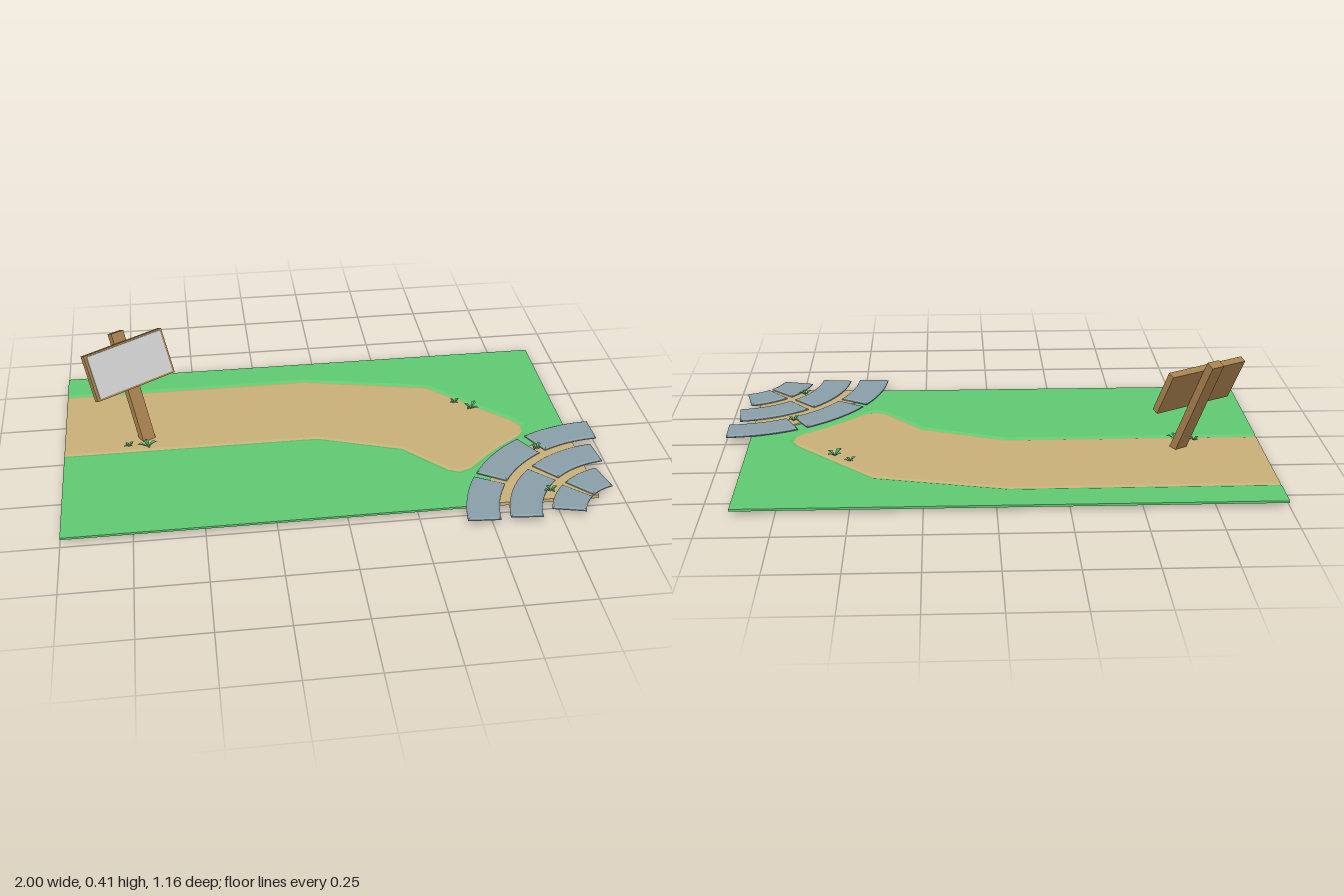
import * as THREE from 'three';

const mat = (name, color, extra = {}) => {
  const m = new THREE.MeshStandardMaterial({ color, ...extra });
  m.name = name;
  return m;
};

export function createModel() {
  const root = new THREE.Group();
  const grass = mat('grass green', 0x5fca72);
  const sand = mat('sand', 0xc9b077);
  const stone = mat('slate stone', 0x8a9fa9);
  const wood = mat('wood', 0xa9824f);
  const panel = mat('pale grey panel', 0xcfcfcf);
  const leaf = mat('leaf green', 0x45bd70, { side: THREE.DoubleSide, flatShading: true });

  const add = (name, geometry, material, parent = root) => {
    const mesh = new THREE.Mesh(geometry, material);
    mesh.name = name;
    parent.add(mesh);
    return mesh;
  };

  // Horizontal slab from [x, z] points between two heights, optionally bevelled
  const slab = (pts, y0, y1, bevel = 0) => {
    const t = bevel * 0.5;
    const shape = new THREE.Shape(pts.map(([x, z]) => new THREE.Vector2(x, -z)));
    const g = new THREE.ExtrudeGeometry(shape, {
      depth: y1 - y0 - 2 * t, bevelEnabled: bevel > 0, bevelSegments: 1,
      bevelSize: bevel, bevelThickness: t, bevelOffset: -bevel,
    });
    return g.rotateX(-Math.PI / 2).translate(0, y0 + t, 0);
  };

  // Path outline, open at the left edge of the ground
  const path = [
    [-1, -0.45], [-0.05, -0.45], [0.43, -0.345], [0.72, -0.06], [0.742, -0.02], [0.735, 0.025],
    [0.71, 0.055], [0.63, 0.11], [0.55, 0.18], [0.49, 0.238], [0.445, 0.255], [0.405, 0.238],
    [0.26, 0.08], [-0.05, -0.03], [-1, -0.03],
  ];
  const last = path.length - 1;
  const offset = (d) => path.map((p, i) => {
    const normal = (a, b) => new THREE.Vector2(b[1] - a[1], a[0] - b[0]).normalize();
    if (i === 0) return [p[0], p[1] - d];
    if (i === last) return [p[0], p[1] + d];
    const n0 = normal(path[i - 1], p);
    const m = n0.clone().add(normal(p, path[i + 1])).normalize();
    const k = d / Math.max(0.4, m.dot(n0));
    return [p[0] + m.x * k, p[1] + m.y * k];
  });

  // Sloping band between two outlines
  const band = (outer, yo, inner, yi) => {
    const v = [];
    for (let i = 0; i < last; i++) {
      const a = [outer[i][0], yo, outer[i][1]], a2 = [outer[i + 1][0], yo, outer[i + 1][1]];
      const b = [inner[i][0], yi, inner[i][1]], b2 = [inner[i + 1][0], yi, inner[i + 1][1]];
      v.push(...a, ...b, ...b2, ...a, ...b2, ...a2);
    }
    const g = new THREE.BufferGeometry();
    g.setAttribute('position', new THREE.Float32BufferAttribute(v, 3));
    g.computeVertexNormals();
    return g;
  };

  // Grass with a bank sloping down to the path
  const bank = offset(0.014), tread = offset(-0.012);
  const corners = [[-1, -0.585], [0.905, -0.585], [0.905, 0.475], [-1, 0.475]];
  add('grassGround', slab([...corners, ...bank.slice().reverse()], 0.013, 0.021), grass);
  add('grassBank', band(bank, 0.021, path, 0.0166), grass);

  // Sandy path with a bevelled border
  add('pathBase', slab(bank, 0.006, 0.0164), sand);
  add('pathBorder', band(path, 0.0166, tread, 0.0195), sand);
  add('pathTread', slab(tread, 0.0165, 0.0195), sand);

  // Fan of paving stones on a sand bed
  const cx = 1.013, cz = 0.61;
  const polar = (r, deg) => {
    const a = THREE.MathUtils.degToRad(deg);
    return [cx - r * Math.sin(a), cz - r * Math.cos(a)];
  };
  const arc = (r, a0, a1, n = 10) =>
    Array.from({ length: n + 1 }, (_, i) => polar(r, a0 + ((a1 - a0) * i) / n));
  add('pavingBed', slab([...arc(0.55, 11.4, 75.8, 16), [0.905, 0.475]], 0.0125, 0.026), sand);

  const paving = new THREE.Group();
  paving.name = 'pavingStones';
  root.add(paving);
  const rows = [
    { r: [0.49, 0.607], spans: [[1.5, 27.5], [31, 58], [60.5, 86]] },
    { r: [0.34, 0.455], spans: [[6, 41.5], [45, 84.5]] },
    { r: [0.185, 0.305], spans: [[14, 43], [47, 76]] },
  ];
  for (const { r, spans } of rows) {
    for (const [a0, a1] of spans) {
      const pts = [...arc(r[1], a0, a1), ...arc(r[0], a1, a0)];
      add('pavingStone', slab(pts, 0.022, 0.034, 0.008), stone, paving);
    }
  }

  // Leaning signpost
  const sign = new THREE.Group();
  sign.name = 'signpost';
  sign.position.set(-0.688, 0.007, -0.112);
  sign.rotation.set(-0.436, 0.53, 0, 'YXZ');
  root.add(sign);
  add('post', new THREE.BoxGeometry(0.052, 0.435, 0.032).translate(0, 0.2175, 0), wood, sign);
  const board = new THREE.Group();
  board.name = 'signBoard';
  board.position.set(0, 0.307, 0.029);
  board.rotation.z = 0.02;
  sign.add(board);
  add('boardBack', new THREE.BoxGeometry(0.335, 0.178, 0.026), wood, board);
  add('boardFace', new THREE.BoxGeometry(0.315, 0.164, 0.006).translate(0, 0.001, 0.015), panel, board);

  // Four-leaved sprouts, each leaf folded along its middle
  const leafGeometry = new THREE.BufferGeometry();
  leafGeometry.setAttribute('position', new THREE.Float32BufferAttribute([
    0, 0, 0, 0.55, 0.5, 0.26, 0.55, 0.38, 0, 0.55, 0.5, -0.26, 1, 0.45, 0,
  ], 3));
  leafGeometry.setIndex([0, 1, 2, 1, 4, 2, 0, 2, 3, 2, 4, 3]);
  leafGeometry.computeVertexNormals();
  const sprouts = [
    [-0.76, 0.02, -0.065, 0.024, 0.7], [-0.69, 0.02, -0.053, 0.038, 0.2],
    [0.52, 0.02, -0.21, 0.026, 0.6], [0.577, 0.02, -0.16, 0.038, 0.95],
    [0.758, 0.026, 0.16, 0.03, 0.9], [0.738, 0.026, 0.43, 0.03, 0.4],
  ];
  for (const [x, y, z, size, turn] of sprouts) {
    const sprout = new THREE.Group();
    sprout.name = 'sprout';
    sprout.position.set(x, y, z);
    root.add(sprout);
    for (let i = 0; i < 4; i++) {
      const l = add('leaf', leafGeometry, leaf, sprout);
      l.rotation.y = turn + (i * Math.PI) / 2;
      l.scale.setScalar(size * (i % 2 ? 0.85 : 1));
    }
  }
  return root;
}
